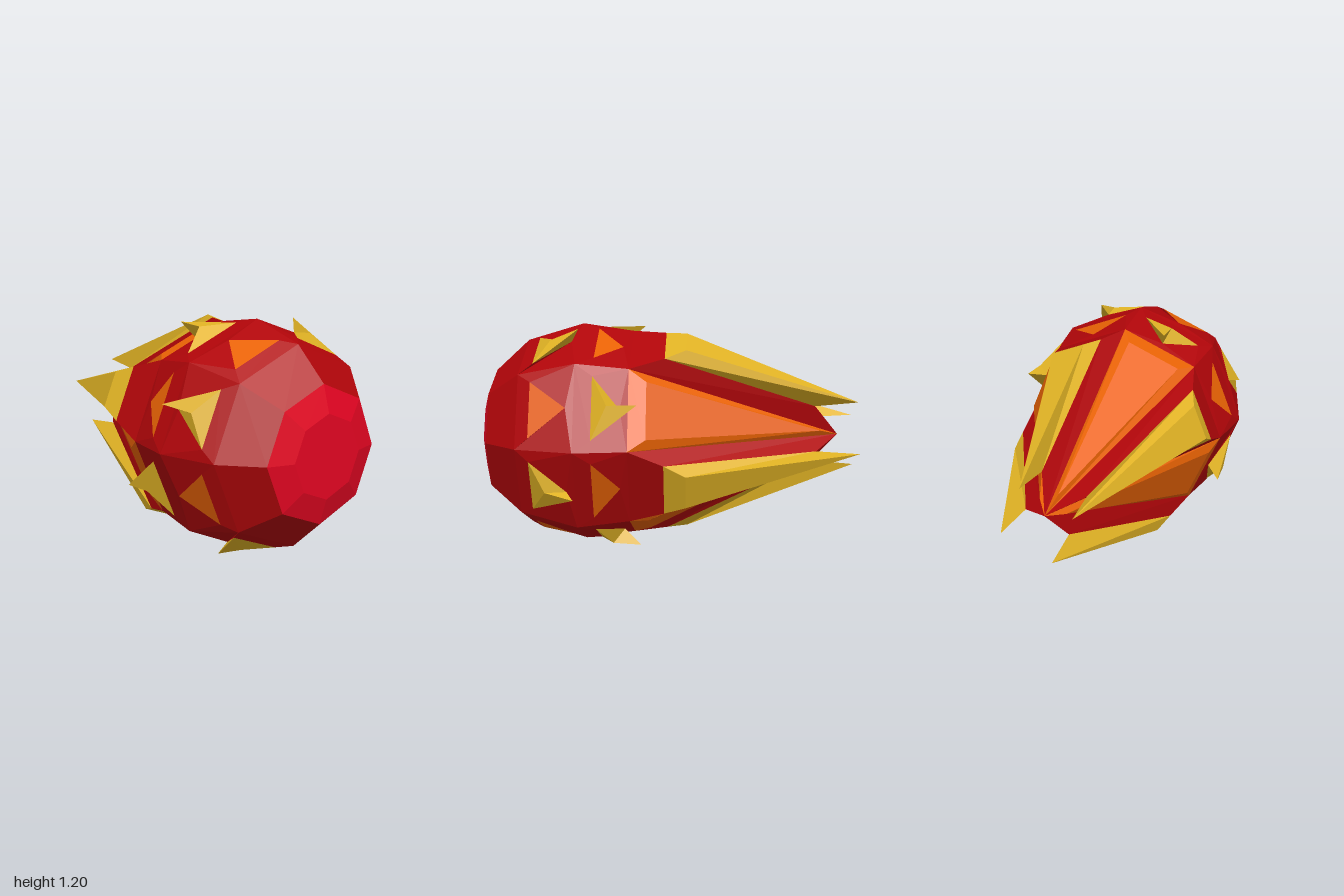
import * as THREE from 'three';

const mat = (color) => new THREE.MeshStandardMaterial({ color, flatShading: true });
const RED = mat(0xb00509), CRIMSON = mat(0xe60522), ORANGE = mat(0xe86204), YELLOW = mat(0xe0b224);
const HALF = Math.PI / 8;

// A point of one sector: t across it, r outward along its middle, z along the body
const P = (t, r, z) => new THREE.Vector3(t, r, z);
// The two ends of one edge of an octagonal ring
const edge = (radius, z) => {
  const t = radius * Math.sin(HALF), r = radius * Math.cos(HALF);
  return [P(-t, r, z), P(t, r, z)];
};

// Strip of faces between two loops with the same number of points
function band(a, b) {
  const out = [];
  a.forEach((p, i) => {
    const j = (i + 1) % a.length;
    out.push([p, a[j], b[j]], [p, b[j], b[i]]);
  });
  return out;
}

function mesh(name, triangles, material) {
  const solid = triangles.filter(([a, b, c]) => !a.equals(b) && !b.equals(c) && !c.equals(a));
  const geometry = new THREE.BufferGeometry().setFromPoints(solid.flat());
  geometry.computeVertexNormals();
  const m = new THREE.Mesh(geometry, material);
  m.name = name;
  return m;
}

// Plain shell face between two rings
function shell(front, back) {
  const [fl, fr] = edge(...front), [bl, br] = edge(...back);
  return [[br, bl, fl], [br, fl, fr]];
}

// Triangle loop: a rear point and a front edge of half-width w
const triangle = (rear, w, r, z) => [P(0, ...rear), P(-w, r, z), P(w, r, z)];

// Body facet with a triangle set into it, either a flat window or a swept spike
function facet(name, front, back, tri, spike) {
  const group = new THREE.Group();
  group.name = name;
  const [bl, br] = edge(...back), [fl, fr] = edge(...front);
  const [rear, left, right] = tri;
  group.add(mesh('bodyFacet', band([br, bl, fl, fr], [rear, rear, left, right]), RED));
  if (spike) {
    const brow = P(0, ...spike.brow);
    group.add(mesh('spike', band(tri, [P(0, ...spike.tip), brow, brow]), YELLOW));
  } else {
    group.add(mesh('window', [tri], ORANGE));
  }
  return group;
}

export function createModel() {
  const model = new THREE.Group();
  model.name = 'spikedPod';
  const nose = [0.21, 1], rim = [0.345, 0.96], shoulder = [0.51, 0.78];
  const waist = [0.6, 0.48], collar = [0.56, 0.21];

  for (let k = 0; k < 8; k++) {
    const sector = new THREE.Group();
    sector.name = 'sector' + (k + 1);
    const even = k % 2 === 0;

    // Nose cap and front shell
    const [n0, n1] = edge(...nose);
    sector.add(mesh('noseCap', [[P(0, 0, 1), n1, n0], ...shell(nose, rim)], CRIMSON));
    sector.add(mesh('frontShell', shell(rim, shoulder), RED));

    // Two rows of alternating windows and spikes
    sector.add(facet('frontRow', shoulder, waist, triangle([0.56, 0.52], 0.146, 0.508, 0.71),
      even ? null : { brow: [0.57, 0.63], tip: [0.635, 0.48] }));
    sector.add(facet('rearRow', waist, collar, triangle([0.53, 0.25], 0.166, 0.555, 0.39),
      even ? { brow: [0.608, 0.31], tip: [0.617, 0.16] } : null));

    // Tail: raised panels between taller fins that carry long spikes
    const root = [P(0, 0, -0.9), ...edge(...collar)];
    if (even) {
      const face = triangle([0.075, -0.8], 0.15, 0.505, 0.12);
      sector.add(mesh('tailPanel', [...band(root, face), face], ORANGE));
    } else {
      const fin = triangle([0.175, -0.77], 0.146, 0.54, 0.03);
      const top = triangle([0.2, -1], 0.095, 0.562, -0.08);
      sector.add(mesh('tailFin', band(root, fin), RED));
      sector.add(mesh('longSpike', [...band(fin, top), top], YELLOW));
    }

    // Turn the sector from straight up to its place around the axis
    sector.rotation.z = HALF * (1 + 2 * k) - Math.PI / 2;
    model.add(sector);
  }
  model.position.y = 0.6;
  const root = new THREE.Group();
  root.name = 'model';
  root.add(model);
  return root;
}
